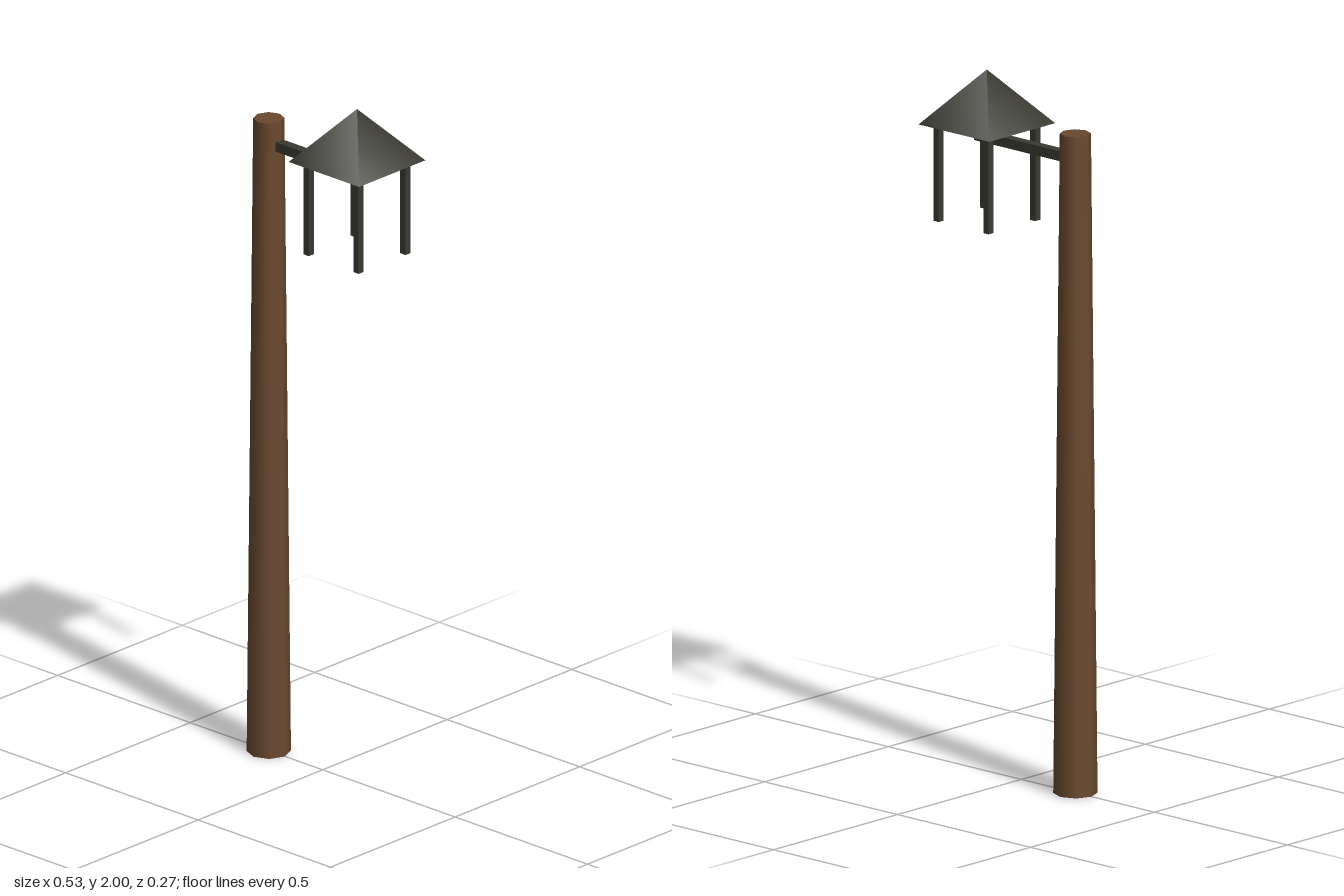
import * as THREE from 'three';

export function createModel() {
  const model = new THREE.Group();
  model.name = 'lampPost';

  const wood = new THREE.MeshStandardMaterial({ color: 0x6b4a2f });
  wood.name = 'brown wood';
  const iron = new THREE.MeshStandardMaterial({ color: 0x3a3a32 });
  iron.name = 'dark iron';

  const add = (name, geometry, material, x, y, z) => {
    const mesh = new THREE.Mesh(geometry, material);
    mesh.name = name;
    mesh.position.set(x, y, z);
    model.add(mesh);
    return mesh;
  };

  // Tapered eight-sided post
  const postHeight = 1.88;
  add('post', new THREE.CylinderGeometry(0.043, 0.061, postHeight, 8), wood, -0.203, postHeight / 2, 0);

  // Arm from inside the post to under the roof
  const armStart = -0.2, armEnd = 0.166;
  add('arm', new THREE.BoxGeometry(armEnd - armStart, 0.028, 0.028), iron, (armStart + armEnd) / 2, 1.809, 0);

  // Pyramid roof, sides square to the axes
  const lanternX = 0.13, eaves = 1.845, roofHeight = 0.155;
  const roof = new THREE.ConeGeometry(0.133 * Math.SQRT2, roofHeight, 4).rotateY(Math.PI / 4);
  add('roof', roof, iron, lanternX, eaves + roofHeight / 2, 0);

  // Four corner bars of the lantern
  const barBottom = 1.57, barTop = 1.85, spread = 0.094;
  for (const sx of [-1, 1]) {
    for (const sz of [-1, 1]) {
      add('lanternBar', new THREE.BoxGeometry(0.02, barTop - barBottom, 0.02), iron,
        lanternX + sx * spread, (barTop + barBottom) / 2, sz * spread);
    }
  }
  return model;
}
